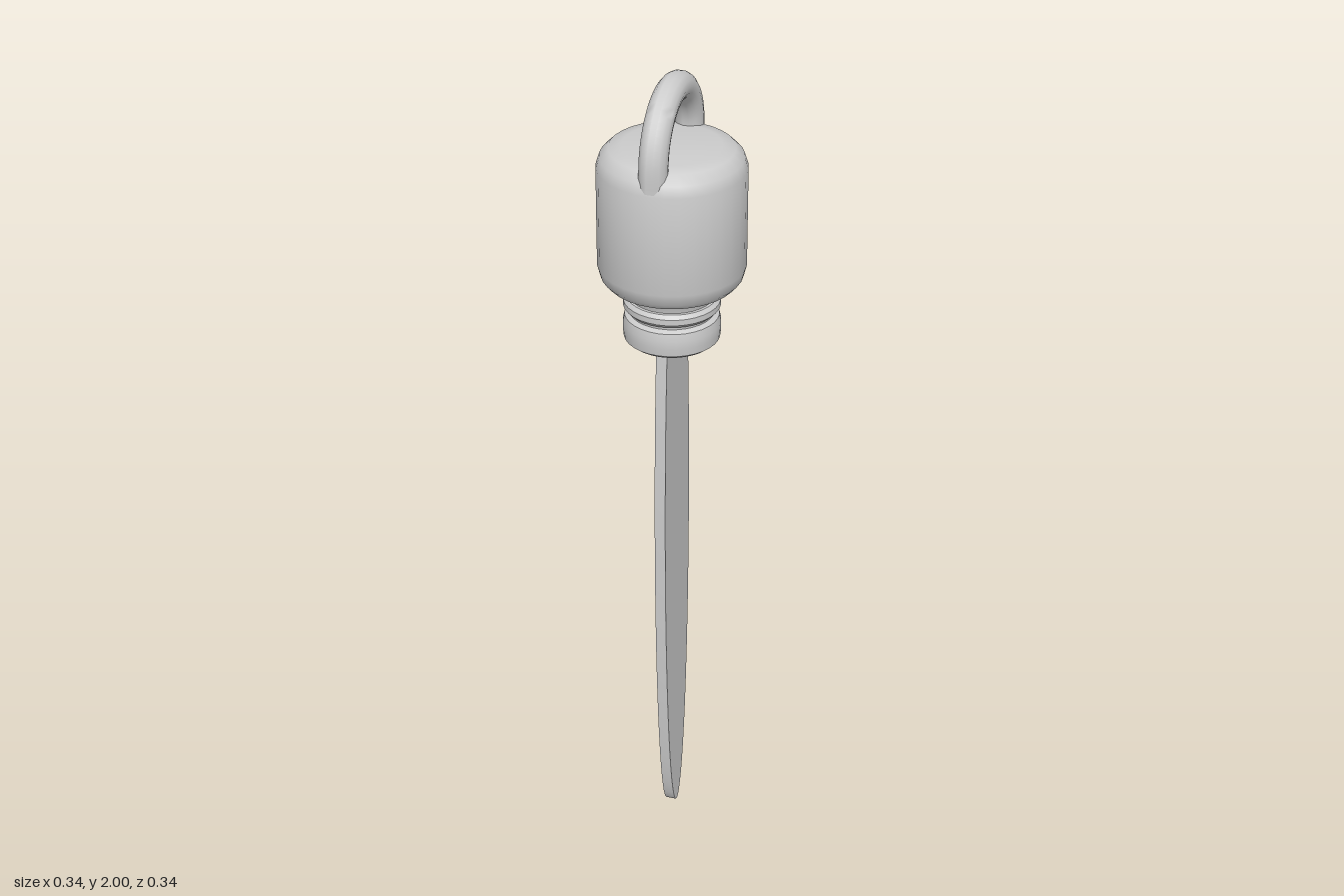
import * as THREE from 'three';
import { toCreasedNormals } from 'three/addons/utils/BufferGeometryUtils.js';

const grey = new THREE.MeshStandardMaterial({ color: 0xcccccc });

function part(name, geometry, crease = 0.6) {
  const mesh = new THREE.Mesh(toCreasedNormals(geometry, crease), grey);
  mesh.name = name;
  return mesh;
}

// Turned part from [radius, height] pairs listed bottom to top
function turned(name, profile) {
  return part(name, new THREE.LatheGeometry(profile.map(([r, y]) => new THREE.Vector2(r, y)), 32));
}

export function createModel() {
  const model = new THREE.Group();

  // Rounded drum-shaped head
  model.add(turned('head', [
    [0, 1.5], [0.12, 1.5], [0.15, 1.505], [0.163, 1.52], [0.17, 1.547],
    [0.17, 1.785], [0.162, 1.81], [0.142, 1.83], [0.112, 1.836], [0, 1.836],
  ]));

  // Tapered neck with a thin bead and a thicker collar
  model.add(turned('neck', [[0, 1.4], [0.098, 1.4], [0.098, 1.465], [0.116, 1.505], [0, 1.505]]));
  model.add(turned('bead', [
    [0.09, 1.431], [0.104, 1.433], [0.112, 1.442], [0.112, 1.456], [0.104, 1.465], [0.09, 1.467],
  ]));
  model.add(turned('collar', [
    [0, 1.353], [0.1, 1.353], [0.111, 1.362], [0.113, 1.38], [0.113, 1.4], [0.109, 1.418], [0.097, 1.425], [0, 1.425],
  ]));

  // Hanging loop: half ring with short legs sunk into the head
  const R = 0.137, top = 1.83;
  const points = [new THREE.Vector3(0, top - 0.04, R)];
  for (let i = 0; i <= 16; i++) {
    const a = (i / 16) * Math.PI;
    points.push(new THREE.Vector3(0, top + R * Math.sin(a), R * Math.cos(a)));
  }
  points.push(new THREE.Vector3(0, top - 0.04, -R));
  model.add(part('loop', new THREE.TubeGeometry(new THREE.CatmullRomCurve3(points), 40, 0.033, 14), 0.9));

  // Flat elliptical blade, its upper end hidden in the head
  const blade = new THREE.CylinderGeometry(1, 1, 0.026, 64);
  blade.rotateZ(Math.PI / 2);
  blade.scale(1, 0.867, 0.097);
  blade.translate(0, 0.867, 0);
  model.add(part('blade', blade));

  return model;
}
